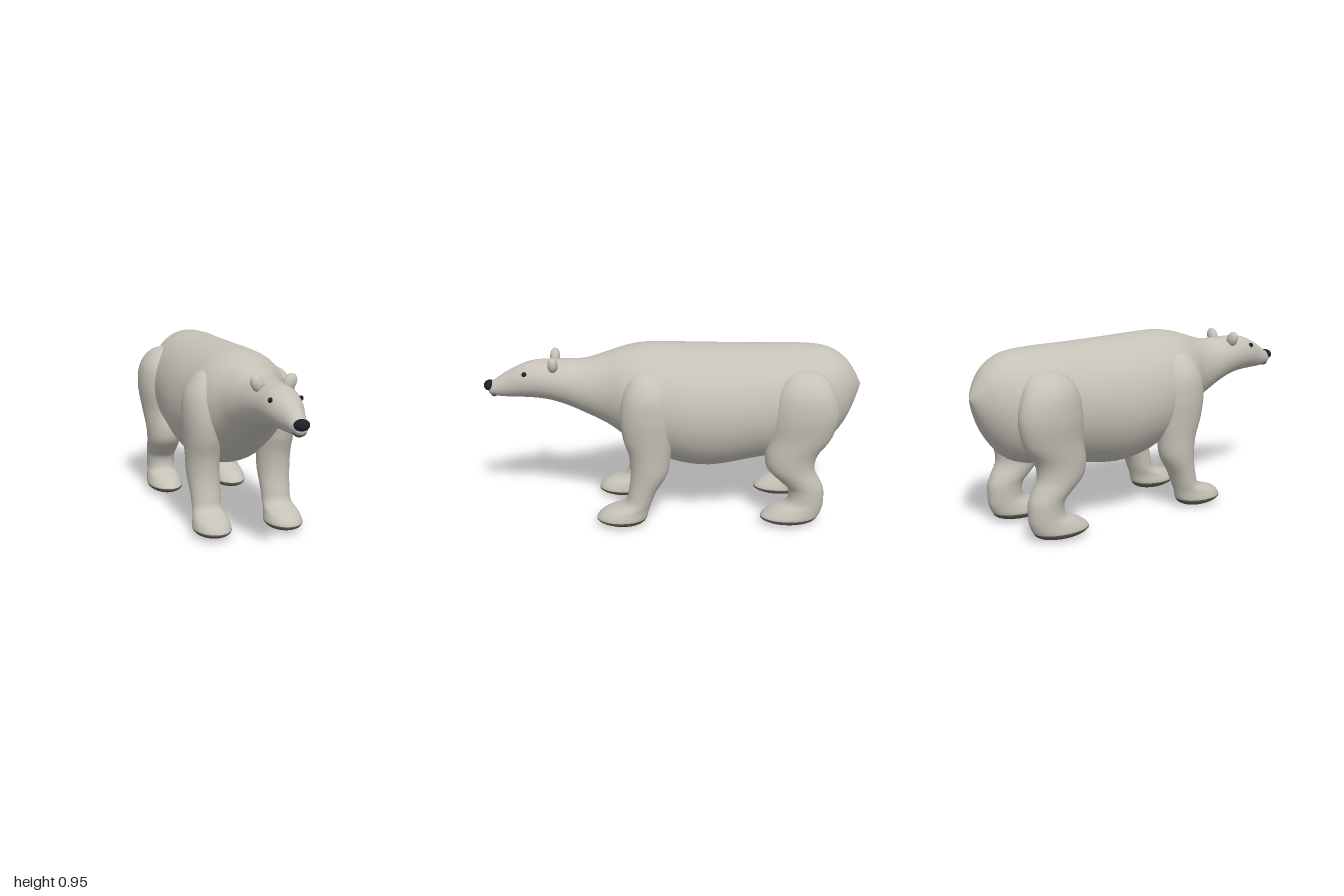
import * as THREE from 'three';

const fur = new THREE.MeshStandardMaterial({ color: 0xc6c2b8 });
fur.name = 'fur';
const sole = new THREE.MeshStandardMaterial({ color: 0x67635c });
sole.name = 'sole';
const black = new THREE.MeshStandardMaterial({ color: 0x1f1f2a });
black.name = 'black';

// smooth value between b and c
function spline(a, b, c, d, t) {
  const v0 = (c - a) / 2, v1 = (d - b) / 2;
  return (2 * b - 2 * c + v0 + v1) * t ** 3 + (3 * c - 3 * b - 2 * v0 - v1) * t * t + v0 * t + b;
}

// Smooth skin through elliptical sections [position, centreA, centreB, radiusA, radiusB].
// place() turns (position, a, b) into a point; sections from soleStart on use the second material.
function loft(sections, place, soleStart = sections.length - 1) {
  const sides = 40, steps = 5, last = sections.length - 1;
  const points = [], index = [];
  const at = (i) => sections[Math.min(last, Math.max(0, i))];
  const rings = last * steps;
  for (let r = 0; r <= rings; r++) {
    const i = Math.min(last - 1, Math.floor(r / steps)), t = r / steps - i;
    const [p, ca, cb, ra, rb] = at(i).map((v, k) => spline(at(i - 1)[k], v, at(i + 1)[k], at(i + 2)[k], t));
    for (let j = 0; j < sides; j++) {
      const u = (j / sides) * Math.PI * 2;
      points.push(...place(p, ca + Math.max(ra, 0.0005) * Math.cos(u), cb + Math.max(rb, 0.0005) * Math.sin(u)));
    }
  }
  for (let r = 0; r < rings; r++) {
    for (let j = 0; j < sides; j++) {
      const k = (j + 1) % sides, a = r * sides, b = a + sides;
      index.push(a + j, a + k, b + k, a + j, b + k, b + j);
    }
  }
  const geometry = new THREE.BufferGeometry();
  geometry.setAttribute('position', new THREE.Float32BufferAttribute(points, 3));
  geometry.setIndex(index);
  geometry.computeVertexNormals();
  const split = soleStart * steps * sides * 6;
  geometry.addGroup(0, split, 0);
  geometry.addGroup(split, index.length - split, 1);
  return geometry;
}

// rump to muzzle: z, centre x, centre y, half width, half height
const bodySections = [
  [-1, 0, 0.72, 0.001, 0.001],
  [-0.96, 0, 0.705, 0.075, 0.095],
  [-0.9, 0, 0.685, 0.15, 0.19],
  [-0.8, 0, 0.66, 0.22, 0.268],
  [-0.65, 0, 0.645, 0.262, 0.297],
  [-0.45, 0, 0.632, 0.28, 0.31],
  [-0.2, 0, 0.613, 0.3, 0.332],
  [0, 0, 0.63, 0.29, 0.32],
  [0.15, 0, 0.667, 0.265, 0.283],
  [0.25, 0, 0.69, 0.228, 0.243],
  [0.35, 0, 0.71, 0.172, 0.193],
  [0.46, 0, 0.722, 0.14, 0.148],
  [0.56, 0, 0.743, 0.125, 0.123],
  [0.65, 0, 0.757, 0.112, 0.108],
  [0.73, 0, 0.761, 0.101, 0.1],
  [0.8, 0, 0.752, 0.084, 0.088],
  [0.88, 0, 0.732, 0.058, 0.067],
  [0.94, 0, 0.715, 0.043, 0.044],
  [0.97, 0, 0.712, 0.03, 0.03],
  [0.975, 0, 0.712, 0.001, 0.001],
];

// shoulder or thigh down to the foot: y, centre x, centre z, half width, half depth
const frontLegSections = [
  [0.86, 0.17, 0.14, 0.001, 0.001],
  [0.83, 0.18, 0.14, 0.06, 0.075],
  [0.74, 0.2, 0.14, 0.1, 0.122],
  [0.62, 0.21, 0.14, 0.1, 0.138],
  [0.5, 0.205, 0.135, 0.095, 0.13],
  [0.4, 0.2, 0.125, 0.09, 0.11],
  [0.3, 0.198, 0.128, 0.087, 0.098],
  [0.2, 0.196, 0.163, 0.08, 0.075],
  [0.13, 0.196, 0.19, 0.079, 0.073],
  [0.09, 0.198, 0.25, 0.09, 0.12],
  [0.045, 0.198, 0.276, 0.099, 0.134],
  [0.02, 0.198, 0.272, 0.08, 0.11],
  [0.006, 0.198, 0.262, 0.045, 0.06],
  [0, 0.198, 0.26, 0.001, 0.001],
];
const backLegSections = [
  [0.86, 0.17, -0.68, 0.001, 0.001],
  [0.83, 0.19, -0.68, 0.065, 0.09],
  [0.75, 0.213, -0.68, 0.1, 0.15],
  [0.63, 0.22, -0.68, 0.106, 0.176],
  [0.5, 0.21, -0.662, 0.1, 0.165],
  [0.4, 0.2, -0.62, 0.1, 0.14],
  [0.32, 0.2, -0.62, 0.094, 0.125],
  [0.25, 0.198, -0.67, 0.087, 0.108],
  [0.2, 0.198, -0.703, 0.081, 0.095],
  [0.13, 0.198, -0.7, 0.08, 0.1],
  [0.09, 0.198, -0.655, 0.09, 0.14],
  [0.045, 0.198, -0.62, 0.099, 0.155],
  [0.02, 0.198, -0.62, 0.08, 0.13],
  [0.006, 0.198, -0.62, 0.045, 0.075],
  [0, 0.198, -0.62, 0.001, 0.001],
];

export function createModel() {
  const group = new THREE.Group();
  const add = (name, geometry, material) => {
    const mesh = new THREE.Mesh(geometry, material);
    mesh.name = name;
    group.add(mesh);
    return mesh;
  };
  const ball = (name, material, [x, y, z], [rx, ry, rz]) => {
    const mesh = add(name, new THREE.SphereGeometry(1, 28, 18), material);
    mesh.position.set(x, y, z);
    mesh.scale.set(rx, ry, rz);
    return mesh;
  };

  // trunk, neck and head in one skin
  add('body', loft(bodySections, (z, x, y) => [x, y, z]), [fur, fur]);

  // muzzle details
  ball('nose', black, [0, 0.726, 0.968], [0.039, 0.028, 0.032]);
  ball('mouth', sole, [0, 0.69, 0.945], [0.034, 0.025, 0.022]);

  for (const side of [1, -1]) {
    const label = side > 0 ? 'left' : 'right';
    const legs = { FrontLeg: frontLegSections, BackLeg: backLegSections };
    for (const [name, sections] of Object.entries(legs)) {
      const mirrored = sections.map(([y, x, ...rest]) => [y, x * side, ...rest]);
      add(label + name, loft(mirrored, (y, x, z) => [x, y, z], sections.length - 4), [fur, sole]);
    }
    ball(label + 'Eye', black, [side * 0.077, 0.808, 0.776], [0.012, 0.013, 0.013]);
    const ear = ball(label + 'Ear', fur, [side * 0.083, 0.858, 0.625], [0.033, 0.046, 0.027]);
    ear.rotation.z = -side * 0.5;
  }
  return group;
}
